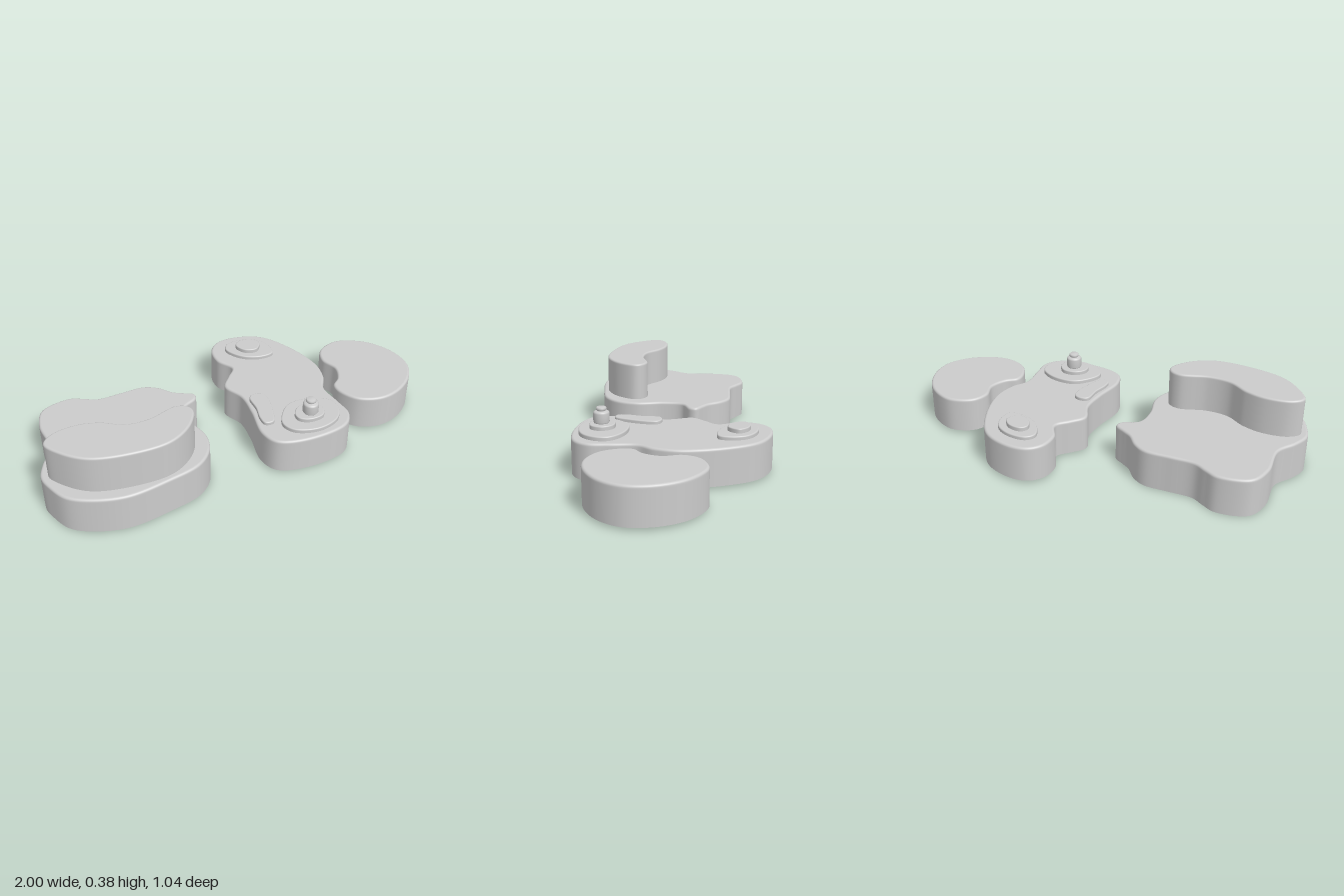
import * as THREE from 'three';

const material = new THREE.MeshStandardMaterial({ color: 0xcccccc, side: THREE.DoubleSide });

// Slab with a smooth closed outline of [x, z] points, open below, with a rounded top edge.
function slab(name, points, y0, y1, radius, samples = 120) {
  const curve = new THREE.CatmullRomCurve3(
    points.map(([x, z]) => new THREE.Vector3(x, -z, 0)), true, 'centripetal');
  let outline = curve.getSpacedPoints(samples).slice(0, samples).map(p => new THREE.Vector2(p.x, p.y));
  if (THREE.ShapeUtils.isClockWise(outline)) outline = outline.reverse();

  const outward = outline.map((p, i) => {
    const t = outline[(i + 1) % samples].clone().sub(outline[(i + samples - 1) % samples]).normalize();
    return new THREE.Vector2(t.y, -t.x);
  });

  // Cross-section of the wall: [inset, height]
  const section = [[0, y0], [0, y1 - radius * 1.5]];
  const steps = 5;
  for (let k = 0; k <= steps; k++) {
    const a = (k / steps) * Math.PI / 2;
    section.push([radius * (1 - Math.cos(a)), y1 - radius + radius * Math.sin(a)]);
  }

  const positions = [], index = [];
  for (const [inset, y] of section) {
    outline.forEach((p, i) => positions.push(p.x - outward[i].x * inset, y, -(p.y - outward[i].y * inset)));
  }
  for (let s = 0; s < section.length - 1; s++) {
    for (let i = 0; i < samples; i++) {
      const j = (i + 1) % samples;
      const a = s * samples + i, b = s * samples + j;
      index.push(a, b, b + samples, a, b + samples, a + samples);
    }
  }
  // Flat top
  const last = (section.length - 1) * samples;
  for (const [a, b, c] of THREE.ShapeUtils.triangulateShape(outline, [])) {
    index.push(last + a, last + b, last + c);
  }

  const geometry = new THREE.BufferGeometry();
  geometry.setAttribute('position', new THREE.Float32BufferAttribute(positions, 3));
  geometry.setIndex(index);
  geometry.computeVertexNormals();
  const mesh = new THREE.Mesh(geometry, material);
  mesh.name = name;
  return mesh;
}

const largeOutline = [
  [-0.765, -0.275], [-0.695, -0.252], [-0.63, -0.225], [-0.51, -0.235], [-0.385, -0.245], [-0.315, -0.213],
  [-0.255, -0.153], [-0.21, -0.13], [-0.155, -0.1], [-0.162, -0.062], [-0.235, -0.01], [-0.238, 0.1],
  [-0.2, 0.23], [-0.22, 0.335], [-0.295, 0.42], [-0.455, 0.475], [-0.66, 0.515], [-0.82, 0.485],
  [-0.92, 0.43], [-0.975, 0.34], [-1.0, 0.26], [-0.975, 0.17], [-0.925, 0.07], [-0.945, -0.11], [-0.91, -0.225],
];
const crescentOutline = [
  [-0.8, 0.182], [-0.695, 0.2], [-0.59, 0.252], [-0.48, 0.25], [-0.345, 0.2], [-0.285, 0.22], [-0.27, 0.26],
  [-0.32, 0.36], [-0.43, 0.44], [-0.615, 0.46], [-0.8, 0.43], [-0.91, 0.35], [-0.965, 0.265], [-0.92, 0.21],
];
const middleOutline = [
  [0.2, -0.525], [0.35, -0.48], [0.465, -0.33], [0.535, -0.135], [0.525, -0.015], [0.487, 0.07], [0.508, 0.2],
  [0.52, 0.3], [0.465, 0.38], [0.246, 0.423], [0.1, 0.39], [0.055, 0.3], [0.065, 0.13], [0.06, 0.0],
  [0.01, -0.11], [0.055, -0.185], [0.1, -0.25], [0.048, -0.34], [0.048, -0.44], [0.1, -0.505],
];
const smallOutline = [
  [0.743, -0.3], [0.88, -0.24], [0.973, -0.118], [0.998, 0.016], [0.945, 0.134], [0.83, 0.225], [0.72, 0.25],
  [0.61, 0.214], [0.548, 0.123], [0.545, 0.065], [0.59, 0.016], [0.615, -0.07], [0.582, -0.16],
  [0.605, -0.24], [0.67, -0.287],
];
const backHillLower = [
  [0.117, -0.4], [0.145, -0.447], [0.24, -0.457], [0.32, -0.42], [0.353, -0.35], [0.345, -0.287],
  [0.267, -0.273], [0.176, -0.31],
];
const backHillUpper = [
  [0.171, -0.385], [0.195, -0.418], [0.262, -0.415], [0.3, -0.375], [0.267, -0.32], [0.205, -0.328],
];
const ridgeOutline = [
  [0.09, 0.04], [0.128, 0.023], [0.165, 0.037], [0.175, 0.085], [0.16, 0.187], [0.132, 0.26], [0.09, 0.257],
  [0.08, 0.21], [0.09, 0.134],
];
const frontHillLower = [
  [0.166, 0.294], [0.2, 0.21], [0.257, 0.158], [0.374, 0.153], [0.462, 0.2], [0.476, 0.267], [0.433, 0.345],
  [0.32, 0.387], [0.203, 0.358],
];
const frontHillUpper = [
  [0.24, 0.267], [0.278, 0.22], [0.347, 0.215], [0.388, 0.262], [0.37, 0.318], [0.294, 0.333], [0.246, 0.308],
];

export function createModel() {
  const model = new THREE.Group();
  model.name = 'islands';
  const top = 0.193;

  // Islands
  model.add(slab('largeIsland', largeOutline, 0, top, 0.012, 200));
  model.add(slab('middleIsland', middleOutline, 0.012, top, 0.012, 200));
  model.add(slab('smallIsland', smallOutline, 0.012, top, 0.012, 160));

  // Raised terraces
  model.add(slab('crescentPlateau', crescentOutline, 0.19, 0.385, 0.01, 160));
  model.add(slab('backHillLower', backHillLower, 0.19, 0.212, 0.006));
  model.add(slab('backHillUpper', backHillUpper, 0.21, 0.234, 0.005, 80));
  model.add(slab('ridge', ridgeOutline, 0.19, 0.211, 0.006));
  model.add(slab('frontHillLower', frontHillLower, 0.19, 0.214, 0.006));
  model.add(slab('frontHillUpper', frontHillUpper, 0.212, 0.235, 0.005));

  // Round peak with a small cap
  const profile = [
    [0.034, 0.233], [0.039, 0.241], [0.039, 0.282], [0.036, 0.289], [0.03, 0.292], [0.021, 0.293],
    [0.021, 0.296], [0.025, 0.299], [0.025, 0.307], [0.021, 0.312], [0, 0.313],
  ].map(([r, y]) => new THREE.Vector2(r, y));
  const peak = new THREE.Mesh(new THREE.LatheGeometry(profile, 40), material);
  peak.name = 'peak';
  peak.position.set(0.317, 0, 0.278);
  model.add(peak);

  return model;
}
